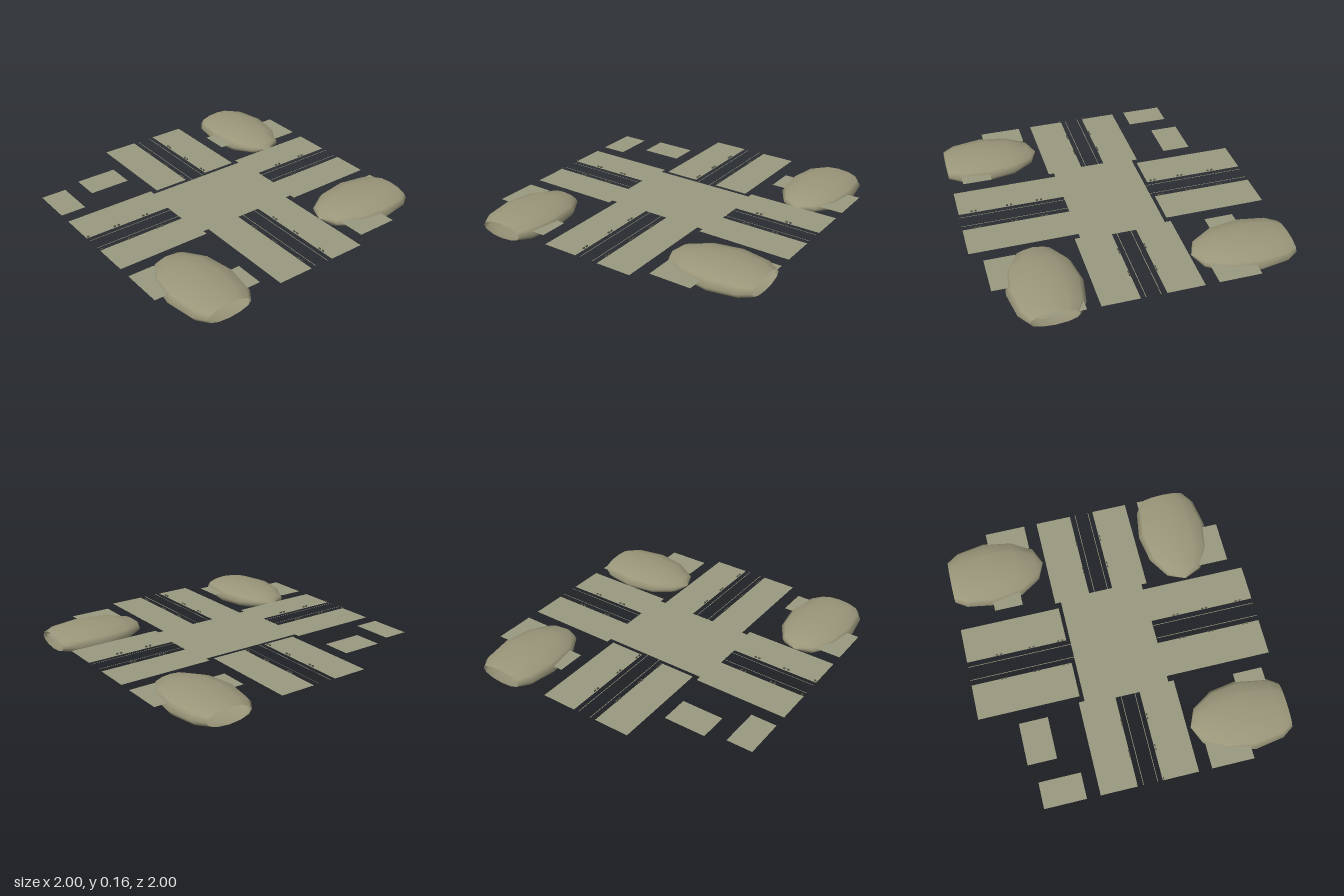
import * as THREE from 'three';

const LEVEL = 0.1; // height of the paving
const paving = new THREE.MeshStandardMaterial({ color: 0x99997f, side: THREE.DoubleSide });
const canopy = new THREE.MeshStandardMaterial({ color: 0x9a967a, side: THREE.DoubleSide });
const dark = new THREE.MeshStandardMaterial({ color: 0x55554a });

function add(group, name, geometry, material) {
  const mesh = new THREE.Mesh(geometry, material);
  mesh.name = name;
  group.add(mesh);
  return mesh;
}

// Flat rectangle lying between two x and two z limits
function slab(group, name, x0, x1, z0, z1, y = LEVEL) {
  const g = new THREE.PlaneGeometry(x1 - x0, z1 - z0).rotateX(-Math.PI / 2);
  add(group, name, g, paving).position.set((x0 + x1) / 2, y, (z0 + z1) / 2);
}

// Faceted ellipsoid, open where it is cut by the edge of the site
function moundGeometry() {
  const profile = [new THREE.Vector2(0.155, -0.27)];
  for (let i = 4; i >= 0; i--) {
    const a = (i * Math.PI) / 6;
    profile.push(new THREE.Vector2(0.24 * Math.sin(a), 0.383 * Math.cos(a)));
  }
  return new THREE.LatheGeometry(profile, 12);
}

// Thin L-shaped line with a rounded corner, for one quarter of the crossing
function kerbGeometry() {
  const d = 0.045, w = 0.004, c = 0.085;
  const s = new THREE.Shape();
  s.moveTo(1, d);
  s.lineTo(c, d);
  s.absarc(c, c, c - d, -Math.PI / 2, -Math.PI, true);
  s.lineTo(d, 1);
  s.lineTo(d + w, 1);
  s.lineTo(d + w, c);
  s.absarc(c, c, c - d - w, Math.PI, Math.PI * 1.5, false);
  s.lineTo(1, d + w);
  s.closePath();
  return new THREE.ShapeGeometry(s, 6).rotateX(-Math.PI / 2);
}

export function createModel() {
  const group = new THREE.Group();
  group.name = 'streetCrossing';

  // Central square and the pavements on both sides of each street
  slab(group, 'crossingSquare', -0.39, 0.387, -0.29, 0.285, LEVEL - 0.001);
  for (const s of [-1, 1]) {
    const [x0, x1] = s < 0 ? [-0.325, -0.083] : [0.083, 0.325];
    slab(group, 'backPavement', x0, x1, -1, -0.315);
    slab(group, 'frontPavement', x0, x1, 0.282, 1);
    const [a, b] = s < 0 ? [-1, -0.365] : [0.365, 1];
    slab(group, 'sideBackPavement', a, b, -0.33, -0.085);
    slab(group, 'sideFrontPavement', a, b, 0.08, 0.322);

    // Small plots in the four corners
    const [p0, p1] = s < 0 ? [-1, -0.825] : [0.825, 1];
    const [q0, q1] = s < 0 ? [-0.7, -0.415] : [0.41, 0.695];
    slab(group, 'backOuterPlot', p0, p1, -0.7, -0.42);
    slab(group, 'backInnerPlot', q0, q1, -0.745, -0.55);
    slab(group, 'frontOuterPlot', p0, p1, 0.41, 0.695);
    slab(group, 'frontInnerPlot', q0, q1, 0.72, 0.92);
  }

  // Lane lines, one per quarter
  const kerb = kerbGeometry();
  for (let i = 0; i < 4; i++) {
    const line = add(group, 'laneLine', kerb, paving);
    line.rotation.y = (i * Math.PI) / 2;
    line.position.y = LEVEL + 0.002;
  }

  // Mounds in three corners
  const mounds = [
    ['backLeftMound', 'rotateX', Math.PI / 2, 0.7, -0.732],
    ['frontRightMound', 'rotateX', -Math.PI / 2, -0.7, 0.732],
    ['frontLeftMound', 'rotateZ', Math.PI / 2, 0.73, 0.6],
  ];
  for (const [name, turn, angle, x, z] of mounds) {
    const g = moundGeometry()[turn](angle).scale(1, 1 / 3, 1);
    add(group, name, g, canopy).position.set(x, 0.08, z);
  }

  // Pairs of tiny kerbside fittings along the streets
  const across = new THREE.BoxGeometry(0.007, 0.01, 0.014);
  const along = new THREE.BoxGeometry(0.014, 0.01, 0.007);
  for (const side of [-0.087, 0.087]) {
    for (const z of [-0.78, -0.555, -0.355, 0.455, 0.66, 0.9]) {
      for (const d of [-0.014, 0.014]) {
        add(group, 'kerbFitting', across, dark).position.set(side, LEVEL + 0.01, z + d);
      }
    }
    for (const x of [-0.78, -0.565, 0.565, 0.78]) {
      for (const d of [-0.014, 0.014]) {
        add(group, 'kerbFitting', along, dark).position.set(x + d, LEVEL + 0.01, side);
      }
    }
    add(group, 'kerbFitting', along, dark).position.set(-0.99, LEVEL + 0.01, side);
  }
  return group;
}
